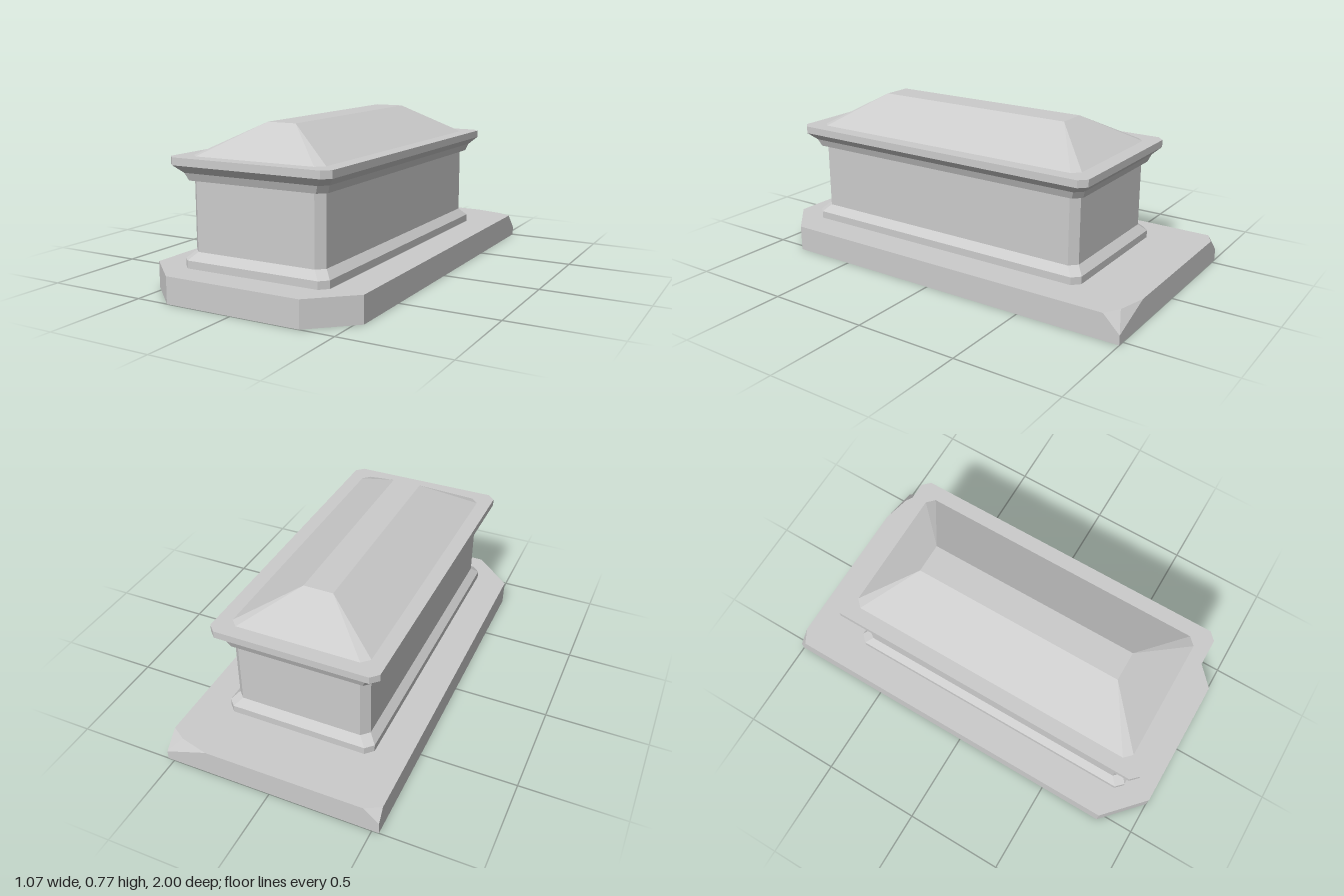
import * as THREE from 'three';
import { ConvexGeometry } from 'three/addons/geometries/ConvexGeometry.js';

const CENTER_Z = 0.071; // the chest sits slightly forward on its slab
const CHAMFER = 0.036;

// Rectangle with cut corners, running anticlockwise seen from above
function ring(y, hx, hz = hx + 0.411, c = CHAMFER) {
  return [
    [hx, hz - c], [hx, c - hz], [hx - c, -hz], [c - hx, -hz],
    [-hx, c - hz], [-hx, hz - c], [c - hx, hz], [hx - c, hz],
  ].map(([x, z]) => new THREE.Vector3(x, y, z + CENTER_Z));
}

// Flat-faced skin over a stack of rings, with an optional top cap
function loft(rings, capTop = false) {
  const points = [];
  const tri = (a, b, c) => {
    const area = b.clone().sub(a).cross(c.clone().sub(a)).length();
    if (area > 1e-8) points.push(a, b, c);
  };
  for (let r = 0; r + 1 < rings.length; r++) {
    const lo = rings[r], hi = rings[r + 1];
    for (let i = 0; i < lo.length; i++) {
      const j = (i + 1) % lo.length;
      tri(lo[i], lo[j], hi[j]);
      tri(lo[i], hi[j], hi[i]);
    }
  }
  if (capTop) {
    const top = rings[rings.length - 1];
    for (let i = 1; i + 1 < top.length; i++) tri(top[0], top[i], top[i + 1]);
  }
  const geometry = new THREE.BufferGeometry().setFromPoints(points);
  geometry.computeVertexNormals();
  return geometry;
}

// Ground slab: wide cut corners at the front, chipped top corners at the back
function slabGeometry() {
  const w = 0.533, h = 0.125;
  const points = [];
  for (const y of [0, h]) {
    for (const s of [-1, 1]) points.push([s * 0.338, y, 1], [s * w, y, 0.82]);
  }
  for (const s of [-1, 1]) points.push([s * w, 0, -1]);
  points.push([w, h, -0.92], [0.46, h, -0.965], [0.32, h, -1], [w, 0.045, -1]); // large chip
  points.push([-w, h, -0.96], [-0.46, h, -1], [-w, 0.06, -1]); // small chip
  return new ConvexGeometry(points.map((p) => new THREE.Vector3(...p)));
}

export function createModel() {
  const group = new THREE.Group();
  const material = new THREE.MeshStandardMaterial({ color: 0xcccccc, flatShading: true });
  const add = (name, geometry) => {
    const mesh = new THREE.Mesh(geometry, material);
    mesh.name = name;
    group.add(mesh);
  };

  add('groundSlab', slabGeometry());

  // Stepped foot with a sloped upper edge
  add('plinth', loft([ring(0.125, 0.373), ring(0.161, 0.373), ring(0.197, 0.338)]));

  add('chest', loft([ring(0.197, 0.338), ring(0.52, 0.338)]));

  // Flared moulding and flat rim around the roof
  add('cornice', loft([
    ring(0.52, 0.338), ring(0.52, 0.36), ring(0.555, 0.374),
    ring(0.59, 0.41), ring(0.625, 0.41), ring(0.625, 0.338),
  ]));

  // Hipped lid with a narrow flat ridge
  add('roof', loft([ring(0.625, 0.338), ring(0.768, 0.073, 0.526, 0)], true));

  return group;
}
